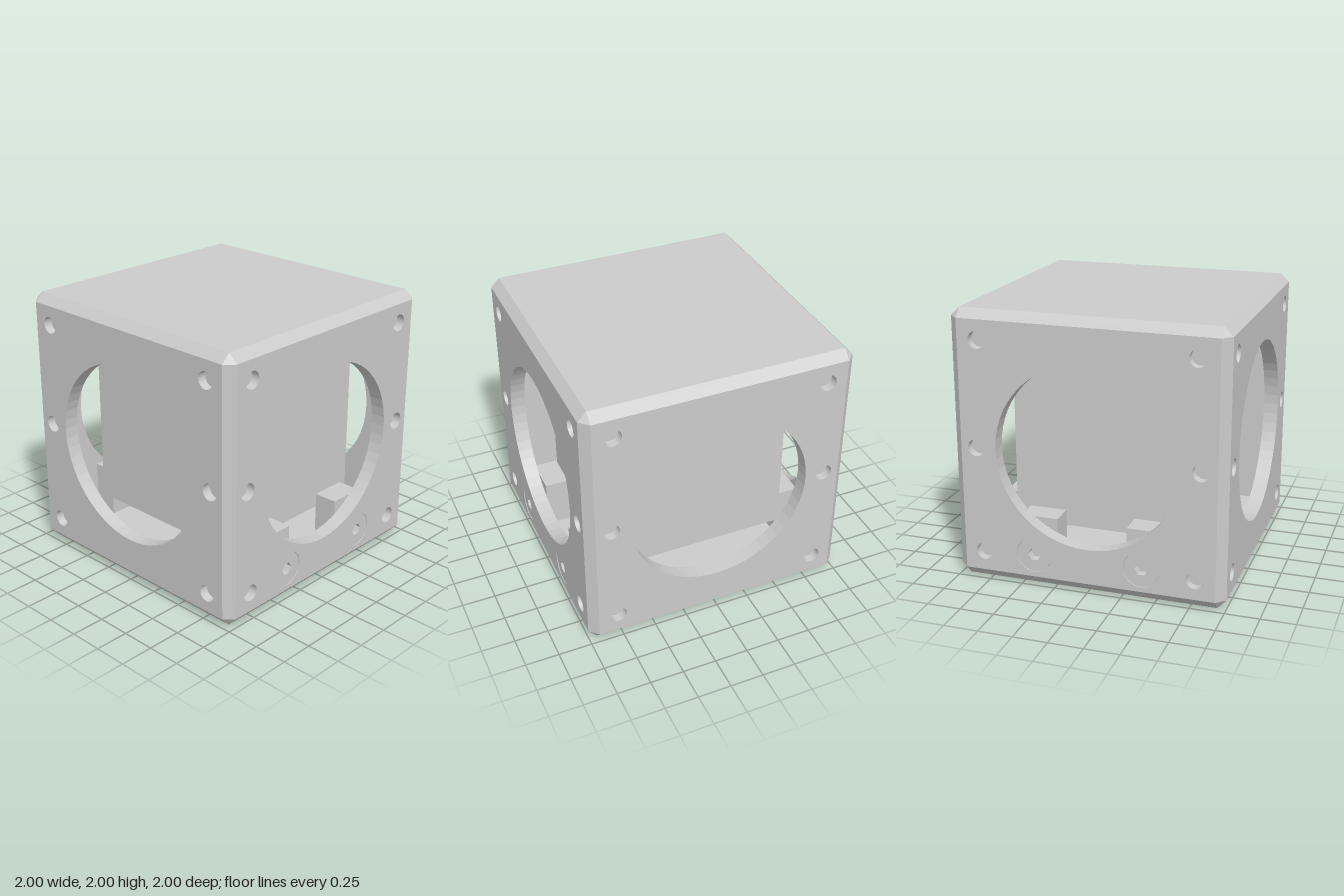
import * as THREE from 'three';

const EDGE = 0.935;          // half width inside the chamfers
const CHAMFER = 0.065;
const LOW = 0.07, HIGH = 1.935;
const WINDOW = { x: 0, y: 1.005, r: 0.673 };

const grey = new THREE.MeshStandardMaterial({ color: 0xcccccc });

function mesh(name, geometry, x = 0, y = 0, z = 0) {
  const m = new THREE.Mesh(geometry, grey);
  m.name = name;
  m.position.set(x, y, z);
  return m;
}

function polygon(points) {
  return new THREE.Shape(points.map(([x, y]) => new THREE.Vector2(x, y)));
}

function circle({ x, y, r }) {
  return new THREE.Path().absarc(x, y, r, 0, Math.PI * 2, true);
}

function extrude(shape, depth, curveSegments = 28) {
  return new THREE.ExtrudeGeometry(shape, { depth, bevelEnabled: false, curveSegments });
}

// Upright plate with round holes, facing +z
function wallPlate(holes, depth) {
  const shape = polygon([[-EDGE, LOW], [EDGE, LOW], [EDGE, HIGH], [-EDGE, HIGH]]);
  holes.forEach(h => shape.holes.push(circle(h)));
  return extrude(shape, depth);
}

// Octagonal slab whose outer face is pulled in to form the chamfer
function chamferedSlab(depth, hole) {
  const e = EDGE;
  const shape = polygon([[1, -e], [1, e], [e, 1], [-e, 1], [-1, e], [-1, -e], [-e, -1], [e, -1]]);
  if (hole) shape.holes.push(circle(hole));
  const g = extrude(shape, depth);
  const p = g.attributes.position;
  for (let i = 0; i < p.count; i++) {
    if (p.getZ(i) < depth / 2) continue;
    p.setX(i, THREE.MathUtils.clamp(p.getX(i), -e, e));
    p.setY(i, THREE.MathUtils.clamp(p.getY(i), -e, e));
  }
  g.computeVertexNormals();
  return g;
}

// Flush screw head with a hexagonal socket, facing +z
function screwHead() {
  const shape = new THREE.Shape().absarc(0, 0, 0.13, 0, Math.PI * 2, false);
  const hex = [];
  for (let i = 0; i < 6; i++) {
    const a = -i * Math.PI / 3;
    hex.push(new THREE.Vector2(0.048 * Math.cos(a), 0.048 * Math.sin(a)));
  }
  shape.holes.push(new THREE.Path(hex));
  return extrude(shape, CHAMFER - 0.004);
}

function side(index) {
  const g = new THREE.Group();
  g.name = ['frontSide', 'leftSide', 'backSide', 'rightSide'][index];
  const screwed = index % 2 === 1;
  const holes = [WINDOW];
  for (const s of [-1, 1]) {
    for (const [x, y] of [[0.787, 1.79], [0.82, 1.005], [0.787, 0.215]]) {
      holes.push({ x: s * x, y, r: 0.063 });
    }
    if (screwed) holes.push({ x: s * 0.4, y: 0.24, r: 0.132 });
  }
  g.add(mesh('outerWall', wallPlate(holes, CHAMFER), 0, 0, EDGE));
  // The inner layer closes the blind holes
  g.add(mesh('innerWall', wallPlate([WINDOW], 0.045), 0, 0, EDGE - 0.045));

  const corner = extrude(polygon([[EDGE, -EDGE], [1, -EDGE], [EDGE, -1]]).clone(), HIGH - LOW);
  const strip = polygon([[EDGE, -EDGE], [EDGE, -1], [1, -EDGE]]);
  corner.copy(extrude(strip, HIGH - LOW));
  corner.rotateX(-Math.PI / 2);
  g.add(mesh('cornerChamfer', corner, 0, LOW, 0));

  if (screwed) {
    for (const s of [-1, 1]) {
      g.add(mesh('screw', screwHead(), s * 0.4, 0.24, EDGE));
      g.add(mesh('screwTab', new THREE.BoxGeometry(0.28, 0.42, 0.18), s * 0.4, 0.28, 0.8));
    }
  }
  g.rotation.y = index * Math.PI / 2;
  return g;
}

export function createModel() {
  const model = new THREE.Group();
  model.name = 'windowedCubeHousing';

  for (let i = 0; i < 4; i++) model.add(side(i));

  // Top
  const top = mesh('topPlate', chamferedSlab(CHAMFER), 0, HIGH, 0);
  top.rotation.x = -Math.PI / 2;
  model.add(top);
  model.add(mesh('ceiling', new THREE.BoxGeometry(1.86, 0.045, 1.86), 0, 1.9125, 0));

  // Base with a blind hole in the middle
  const base = mesh('basePlate', chamferedSlab(LOW, { x: 0, y: 0, r: 0.06 }), 0, LOW, 0);
  base.rotation.x = Math.PI / 2;
  model.add(base);
  model.add(mesh('floor', new THREE.BoxGeometry(1.86, 0.04, 1.86), 0, 0.09, 0));

  // Inner block hanging from the ceiling
  model.add(mesh('innerBlock', new THREE.BoxGeometry(1.33, 1.345, 1.33), 0, 1.0225, 0));
  model.add(mesh('blockHanger', new THREE.BoxGeometry(0.52, 0.22, 0.52), 0, 1.79, 0));
  return model;
}
